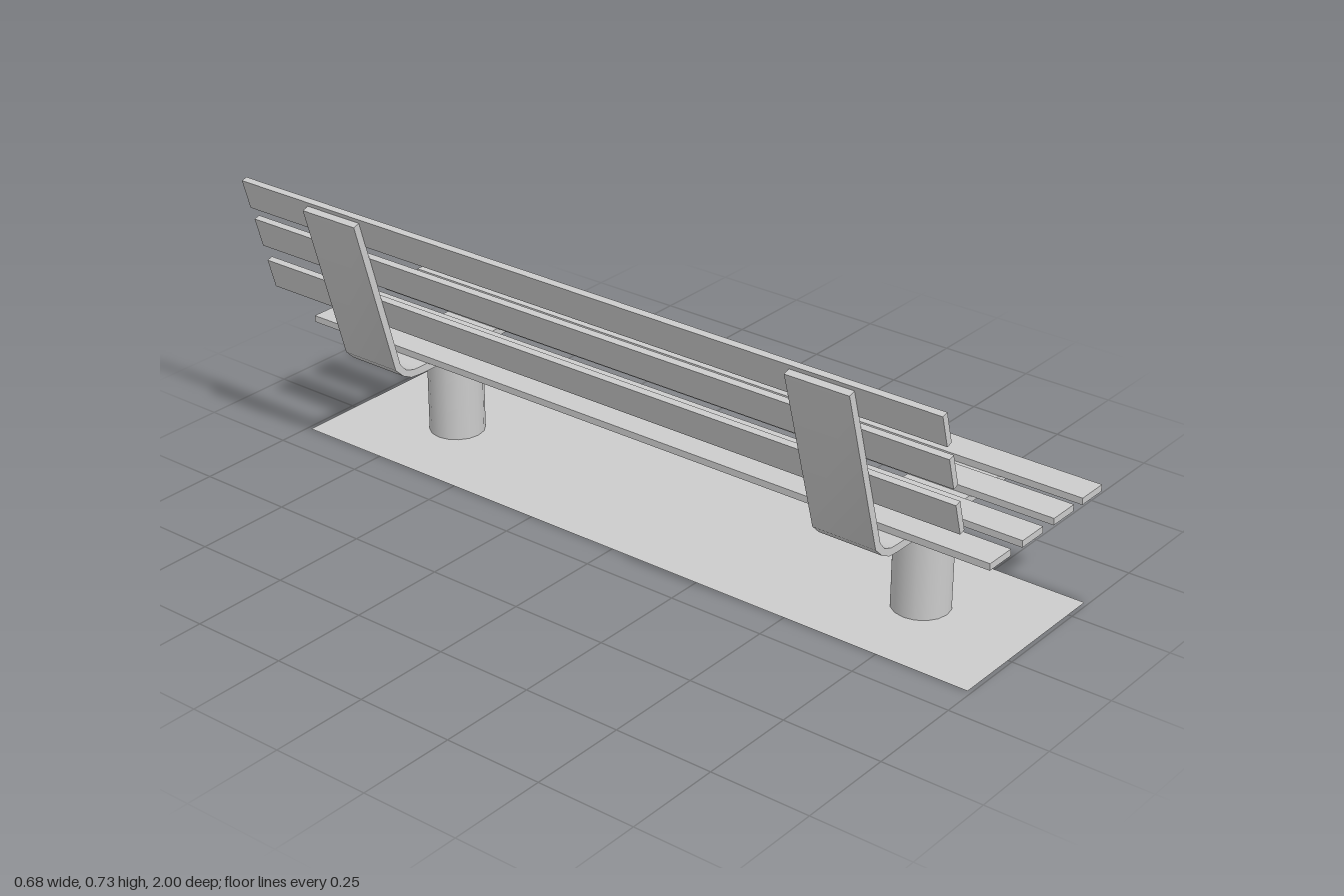
import * as THREE from 'three';
import { toCreasedNormals } from 'three/addons/utils/BufferGeometryUtils.js';

export function createModel() {
  const model = new THREE.Group();
  model.name = 'bench';
  const grey = new THREE.MeshStandardMaterial({ color: 0xcccccc });
  const thin = new THREE.MeshStandardMaterial({ color: 0xcccccc, side: THREE.DoubleSide });

  const add = (name, geometry, x, y, z, material = grey) => {
    const mesh = new THREE.Mesh(geometry, material);
    mesh.name = name;
    mesh.position.set(x, y, z);
    model.add(mesh);
    return mesh;
  };

  // Ground slab under the bench
  const ground = add('groundPlate', new THREE.PlaneGeometry(0.48, 1.98), 0.08, 0, 0, thin);
  ground.rotation.x = -Math.PI / 2;

  // Seat slats
  const seatSlat = new THREE.BoxGeometry(0.082, 0.017, 2);
  [-0.074, 0.054, 0.181, 0.3].forEach((x) => add('seatSlat', seatSlat, x, 0.2885, 0));

  // Back slats, leaning with the support straps
  const backSlat = new THREE.BoxGeometry(0.016, 0.08, 2);
  [[-0.3095, 0.691], [-0.277, 0.5815], [-0.2435, 0.462]].forEach(([x, y]) => {
    add('backSlat', backSlat, x, y, 0).rotation.z = THREE.MathUtils.degToRad(16);
  });

  // Bent strap side profile: underside and back first, then the inner face
  const profile = [
    [0.33, 0.26], [-0.14, 0.26], [-0.172, 0.263], [-0.2, 0.277], [-0.225, 0.301],
    [-0.342, 0.711], [-0.324, 0.717],
    [-0.208, 0.31], [-0.19, 0.29], [-0.165, 0.281], [-0.14, 0.28], [0.33, 0.28],
  ].map(([x, y]) => new THREE.Vector2(x, y));
  const strapWidth = 0.166;
  const strap = toCreasedNormals(
    new THREE.ExtrudeGeometry(new THREE.Shape(profile), { depth: strapWidth, bevelEnabled: false })
      .translate(0, 0, -strapWidth / 2),
    0.7
  );

  // Each end has a round leg carrying a strap
  const leg = new THREE.CylinderGeometry(0.071, 0.071, 0.26, 16, 1, true);
  for (const side of [1, -1]) {
    add('supportStrap', strap, 0, 0, side * 0.7);
    add('leg', leg, 0.08, 0.13, side * 0.707, thin);
  }

  return model;
}
